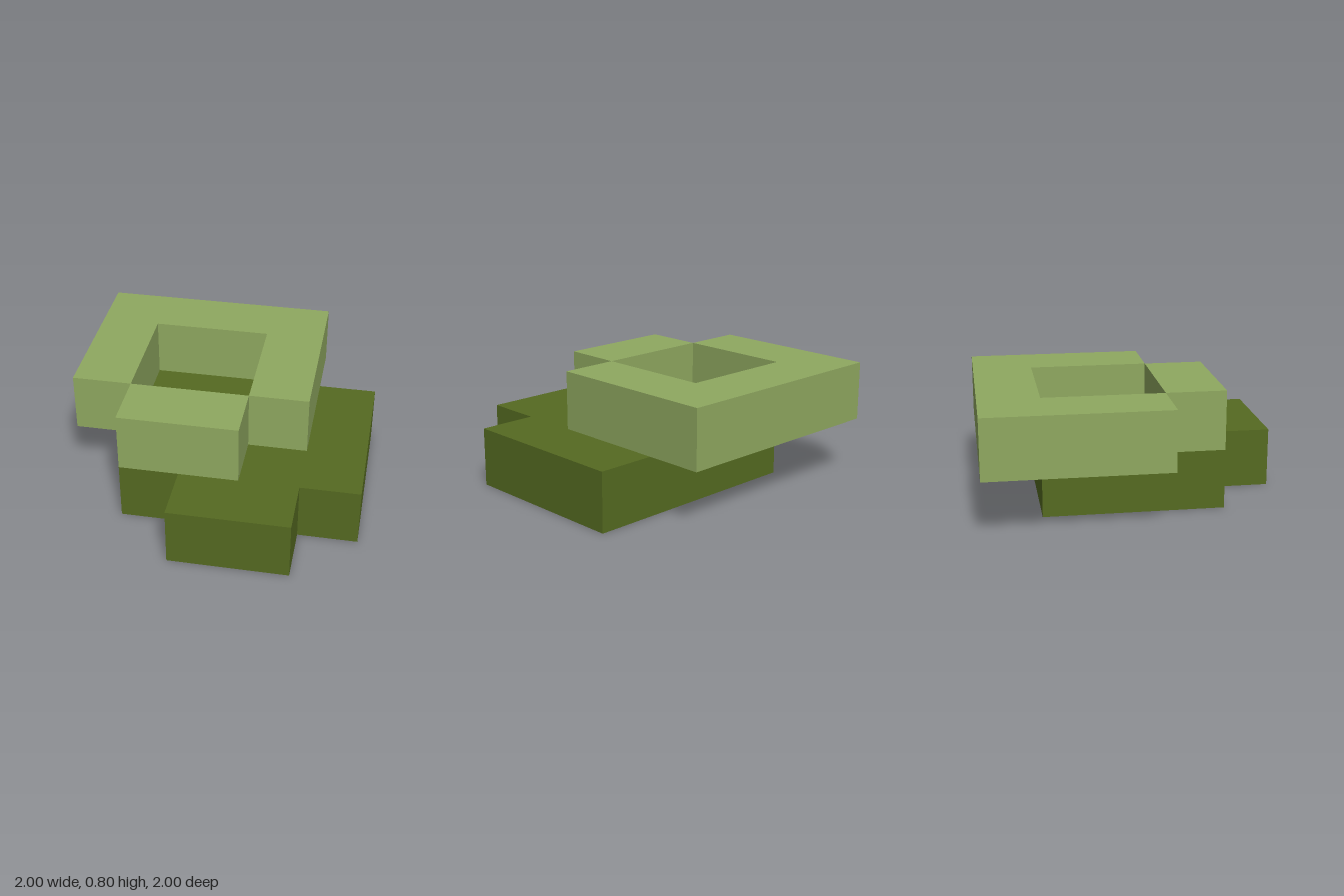
import * as THREE from 'three';

const H = 0.4; // thickness of each layer

// Extrude a floor outline given as [x, z] points upward by one layer.
function slab(name, points, y, material) {
  const shape = new THREE.Shape(points.map(([x, z]) => new THREE.Vector2(x, -z)));
  const geometry = new THREE.ExtrudeGeometry(shape, { depth: H, bevelEnabled: false });
  geometry.rotateX(-Math.PI / 2);
  const mesh = new THREE.Mesh(geometry, material);
  mesh.name = name;
  mesh.position.y = y;
  return mesh;
}

// U-shaped frame, open to the front, with its back right corner at (x, z).
const frame = (x, z) => [
  [x, z], [x + 1.6, z], [x + 1.6, z + 1.2], [x + 1.2, z + 1.2],
  [x + 1.2, z + 0.4], [x + 0.4, z + 0.4], [x + 0.4, z + 1.2], [x, z + 1.2],
];

export function createModel() {
  const lightGreen = new THREE.MeshStandardMaterial({ color: 0x8fa860 });
  lightGreen.name = 'lightGreen';
  const darkGreen = new THREE.MeshStandardMaterial({ color: 0x556a21 });
  darkGreen.name = 'darkGreen';

  // Lower layer: frame plus a front block that steps into the opening.
  const lower = new THREE.Group();
  lower.name = 'lowerLayer';
  lower.add(
    slab('lowerFrame', frame(-0.6, -0.6), 0, darkGreen),
    slab('lowerFrontBlock',
      [[0.2, 0.2], [0.6, 0.2], [0.6, 1], [-0.2, 1], [-0.2, 0.6], [0.2, 0.6]], 0, darkGreen),
  );

  // Upper layer: the same frame shifted back, plus a plain front block.
  const upper = new THREE.Group();
  upper.name = 'upperLayer';
  upper.add(
    slab('upperFrame', frame(-1, -1), H, lightGreen),
    slab('upperFrontBlock',
      [[-0.6, 0.2], [0.2, 0.2], [0.2, 0.6], [-0.6, 0.6]], H, lightGreen),
  );

  const model = new THREE.Group();
  model.name = 'interlockingBlocks';
  model.add(lower, upper);
  return model;
}
